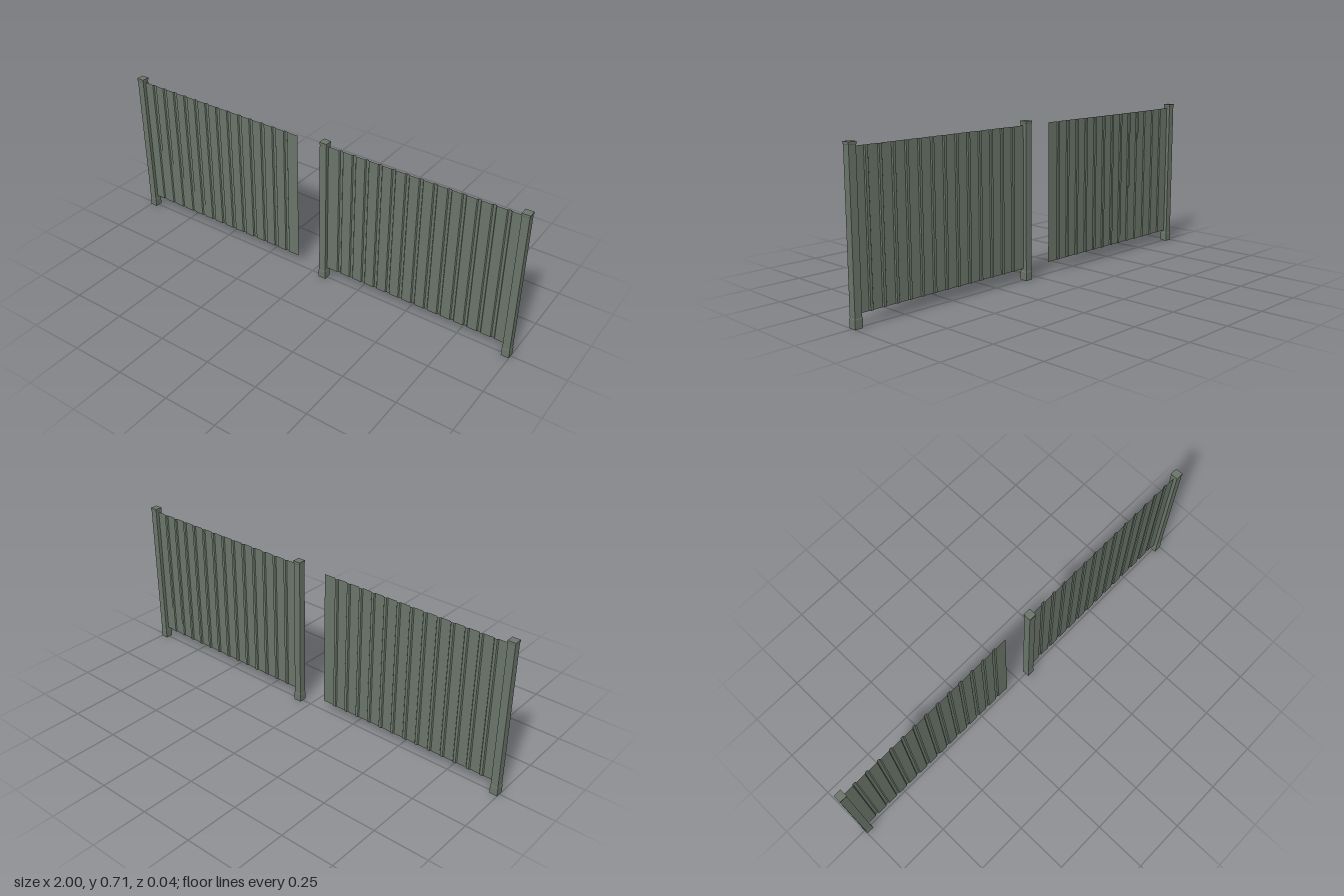
import * as THREE from 'three';

const material = new THREE.MeshStandardMaterial({ color: 0x6a756a, flatShading: true, side: THREE.DoubleSide });

function part(name, geometry) {
  const mesh = new THREE.Mesh(geometry, material);
  mesh.name = name;
  return mesh;
}

// Square, bevelled block from [halfWidth, y] rings
function squareBlock(name, rings) {
  const points = rings.map(([half, y]) => new THREE.Vector2(half * Math.SQRT2, y));
  return part(name, new THREE.LatheGeometry(points, 4, Math.PI / 4));
}

// Post: foot, shaft and cap
function createPost(name, x) {
  const post = new THREE.Group();
  post.name = name;
  post.add(
    squareBlock('foot', [[0, 0], [0.018, 0], [0.018, 0.038], [0.0165, 0.041]]),
    squareBlock('shaft', [[0.0165, 0.04], [0.0165, 0.7]]),
    squareBlock('cap', [[0.0165, 0.697], [0.018, 0.7], [0.018, 0.709], [0, 0.709]])
  );
  post.position.x = x;
  return post;
}

// Thin ribbed sheet; the ribs stand out towards the back
function createPanel(name, side) {
  const bottom = 0.053, top = 0.69, ribs = 13, firstRib = 0.145, pitch = 0.0638;
  const profile = [[0.08, 0]];
  for (let i = 0; i < ribs; i++) {
    const c = firstRib + i * pitch;
    profile.push([c - 0.01, 0], [c - 0.006, -0.005], [c + 0.006, -0.005], [c + 0.01, 0]);
  }
  profile.push([0.97, 0]);
  if (side < 0) profile.reverse();

  const columns = profile.length;
  const geometry = new THREE.PlaneGeometry(1, top - bottom, columns - 1, 1);
  const position = geometry.attributes.position;
  for (let i = 0; i < position.count; i++) {
    const [x, z] = profile[i % columns];
    position.setX(i, side * x);
    position.setZ(i, z);
  }
  geometry.translate(0, (top + bottom) / 2, 0);
  geometry.computeVertexNormals();
  return part(name, geometry);
}

export function createModel() {
  const fence = new THREE.Group();
  fence.name = 'fence';
  fence.add(
    createPost('rightPost', -0.982),
    createPost('middlePost', 0.064),
    createPost('leftPost', 0.982),
    createPanel('rightPanel', -1),
    createPanel('leftPanel', 1)
  );
  return fence;
}
